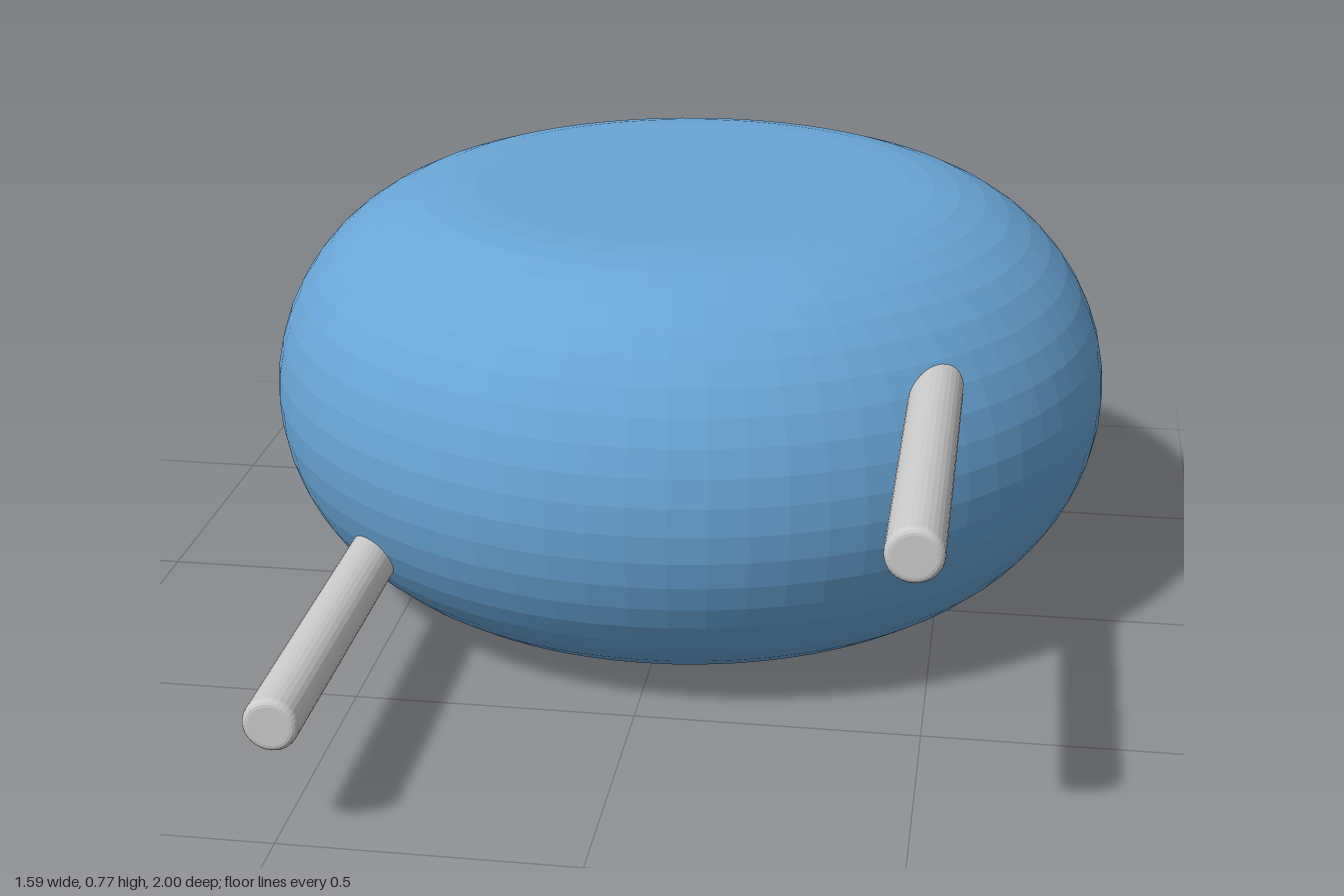
import * as THREE from 'three';

const V = (x, y) => new THREE.Vector2(x, y);

export function createModel() {
  const model = new THREE.Group();
  const blue = new THREE.MeshStandardMaterial({ color: 0x69a5d6, flatShading: true });
  const grey = new THREE.MeshStandardMaterial({ color: 0xcccccc, flatShading: true });

  // Disc body with a fully rounded rim, profile running from bottom to top
  const half = 0.385, flat = 0.41, steps = 24;
  const profile = [V(0, 0)];
  for (let i = 0; i <= steps; i++) {
    const a = -Math.PI / 2 + (Math.PI * i) / steps;
    profile.push(V(flat + half * Math.cos(a), half + half * Math.sin(a)));
  }
  profile.push(V(0, half * 2));
  const body = new THREE.Mesh(new THREE.LatheGeometry(profile, 72), blue);
  body.name = 'body';
  body.position.z = -0.205;
  model.add(body);

  // Two wire leads pointing forward, with softened tips
  const start = 0.24, end = 1, r = 0.046, bevel = 0.012;
  const leadProfile = [V(0, start), V(r, start), V(r, end - bevel)];
  for (let i = 1; i <= 4; i++) {
    const a = (Math.PI / 2) * (i / 4);
    leadProfile.push(V(r - bevel + bevel * Math.cos(a), end - bevel + bevel * Math.sin(a)));
  }
  leadProfile.push(V(0, end));
  const leadGeometry = new THREE.LatheGeometry(leadProfile, 32).rotateX(Math.PI / 2);
  for (const [name, x, y] of [['leftLead', 0.497, 0.568], ['rightLead', -0.497, 0.21]]) {
    const lead = new THREE.Mesh(leadGeometry, grey);
    lead.name = name;
    lead.position.set(x, y, 0);
    model.add(lead);
  }
  return model;
}
